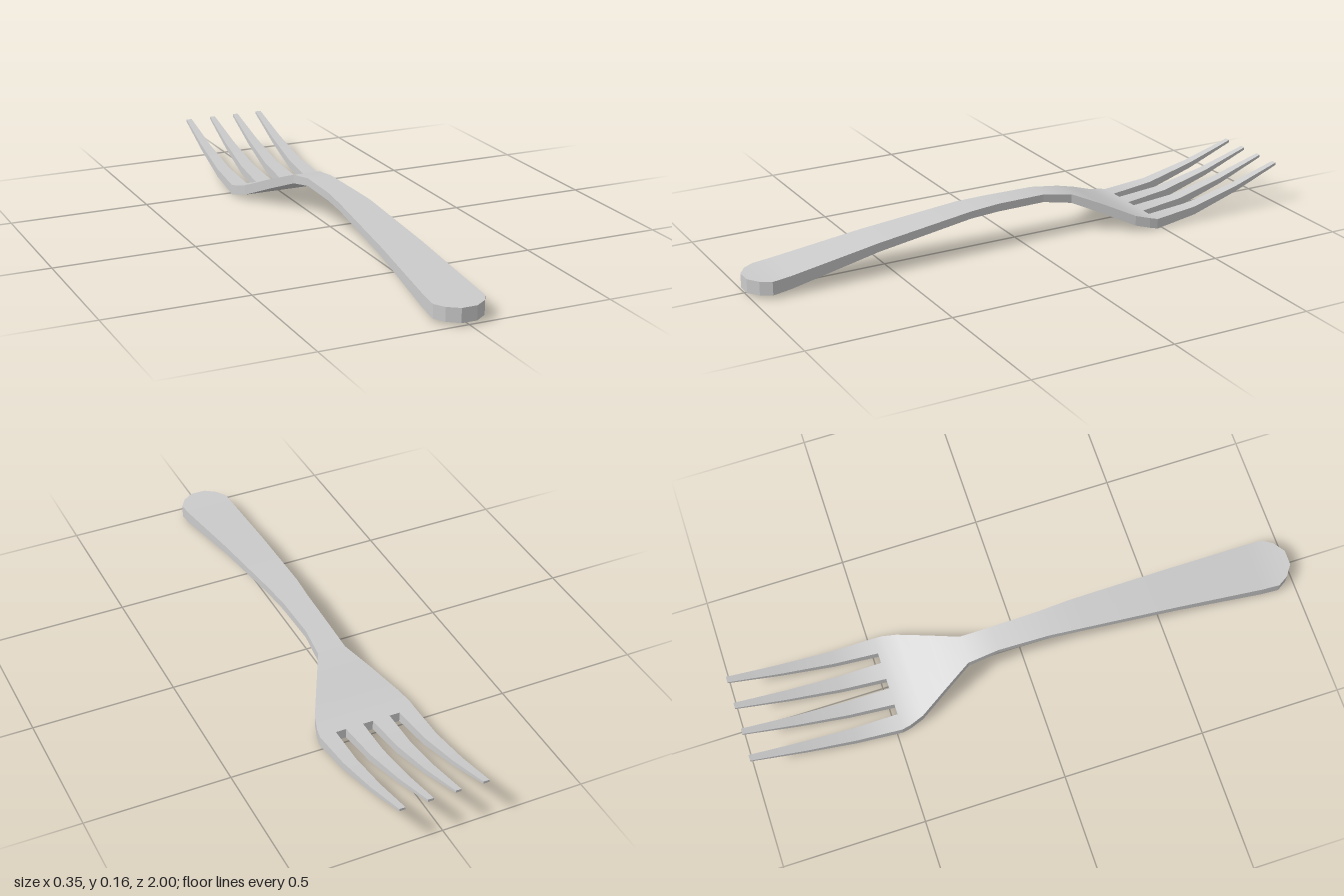
import * as THREE from 'three';

// Side profile from the handle end to the tine tips: z, top height, bottom height
const PROFILE = [
  [1, 0.058, 0.009], [0.935, 0.058, 0.011], [0.87, 0.065, 0.02], [0.55, 0.111, 0.08],
  [0.2, 0.151, 0.125], [0.09, 0.156, 0.128], [-0.09, 0.156, 0.128], [-0.2, 0.139, 0.107],
  [-0.3, 0.1, 0.065], [-0.4, 0.056, 0.02], [-0.48, 0.036, 0], [-0.64, 0.052, 0.022],
  [-0.82, 0.095, 0.075], [-1, 0.152, 0.143],
];

// Height of the top (1) or bottom (2) surface at z
function height(z, column) {
  let i = 0;
  while (i < PROFILE.length - 2 && z < PROFILE[i + 1][0]) i++;
  const [a, b] = [PROFILE[i], PROFILE[i + 1]];
  const t = THREE.MathUtils.clamp((z - a[0]) / (b[0] - a[0]), 0, 1);
  return THREE.MathUtils.lerp(a[column], b[column], t);
}

// Smooth surface normal, taken from the slope of the profile around z
function surfaceNormal(z, column) {
  const z0 = Math.max(z - 0.05, -1), z1 = Math.min(z + 0.05, 1);
  const slope = (height(z1, column) - height(z0, column)) / (z1 - z0);
  const n = new THREE.Vector3(0, 1, -slope).normalize();
  return column === 1 ? n : n.negate();
}

// Bar of rectangular sections; stations are [z, xMin, xMax] with z falling
function bar(name, stations, material, capFront, capBack) {
  const positions = [], normals = [];
  const quad = (a, b, c, d, column) => {
    const flat = new THREE.Vector3().subVectors(c, a)
      .cross(new THREE.Vector3().subVectors(d, b)).normalize();
    for (const p of [a, b, c, a, c, d]) {
      positions.push(p.x, p.y, p.z);
      const n = column ? surfaceNormal(p.z, column) : flat;
      normals.push(n.x, n.y, n.z);
    }
  };
  const sections = stations.map(([z, x0, x1]) => ({
    tr: new THREE.Vector3(x0, height(z, 1), z), tl: new THREE.Vector3(x1, height(z, 1), z),
    br: new THREE.Vector3(x0, height(z, 2), z), bl: new THREE.Vector3(x1, height(z, 2), z),
  }));
  for (let i = 0; i < sections.length - 1; i++) {
    const s = sections[i], e = sections[i + 1];
    quad(s.tr, s.tl, e.tl, e.tr, 1);
    quad(s.bl, s.br, e.br, e.bl, 2);
    quad(s.bl, e.bl, e.tl, s.tl);
    quad(e.br, s.br, s.tr, e.tr);
  }
  const first = sections[0], last = sections[sections.length - 1];
  if (capFront) quad(first.br, first.bl, first.tl, first.tr);
  if (capBack) quad(last.bl, last.br, last.tr, last.tl);

  const geometry = new THREE.BufferGeometry();
  geometry.setAttribute('position', new THREE.Float32BufferAttribute(positions, 3));
  geometry.setAttribute('normal', new THREE.Float32BufferAttribute(normals, 3));
  const mesh = new THREE.Mesh(geometry, material);
  mesh.name = name;
  return mesh;
}

export function createModel() {
  const fork = new THREE.Group();
  fork.name = 'fork';
  const metal = new THREE.MeshStandardMaterial({ color: 0xcccccc });
  const symmetric = ([z, half]) => [z, -half, half];

  // Handle: rounded end, tapering towards the neck
  const handle = [
    [1, 0.027], [0.972, 0.067], [0.935, 0.09], [0.87, 0.089], [0.55, 0.073],
    [0.2, 0.056], [0.09, 0.048], [-0.09, 0.044], [-0.2, 0.05],
  ];
  fork.add(bar('handle', handle.map(symmetric), metal, true, false));

  // Head: flares out from the neck to the tine roots
  const head = [[-0.2, 0.05], [-0.3, 0.103], [-0.4, 0.156], [-0.45, 0.171], [-0.48, 0.175]];
  fork.add(bar('head', head.map(symmetric), metal, false, true));

  // Tines: root edges narrowing to tip edges, mirrored on both sides
  const tines = [
    { name: 'outerTine', root: [0.117, 0.175], tip: [0.135, 0.156] },
    { name: 'innerTine', root: [0.018, 0.08], tip: [0.038, 0.058] },
  ];
  for (const { name, root, tip } of tines) {
    for (const side of [1, -1]) {
      const stations = [-0.48, -0.64, -0.82, -1].map((z) => {
        const t = (-0.48 - z) / 0.52;
        const edges = [0, 1].map((k) => side * THREE.MathUtils.lerp(root[k], tip[k], t));
        return [z, Math.min(...edges), Math.max(...edges)];
      });
      fork.add(bar(name + (side > 0 ? 'Left' : 'Right'), stations, metal, false, true));
    }
  }
  return fork;
}
